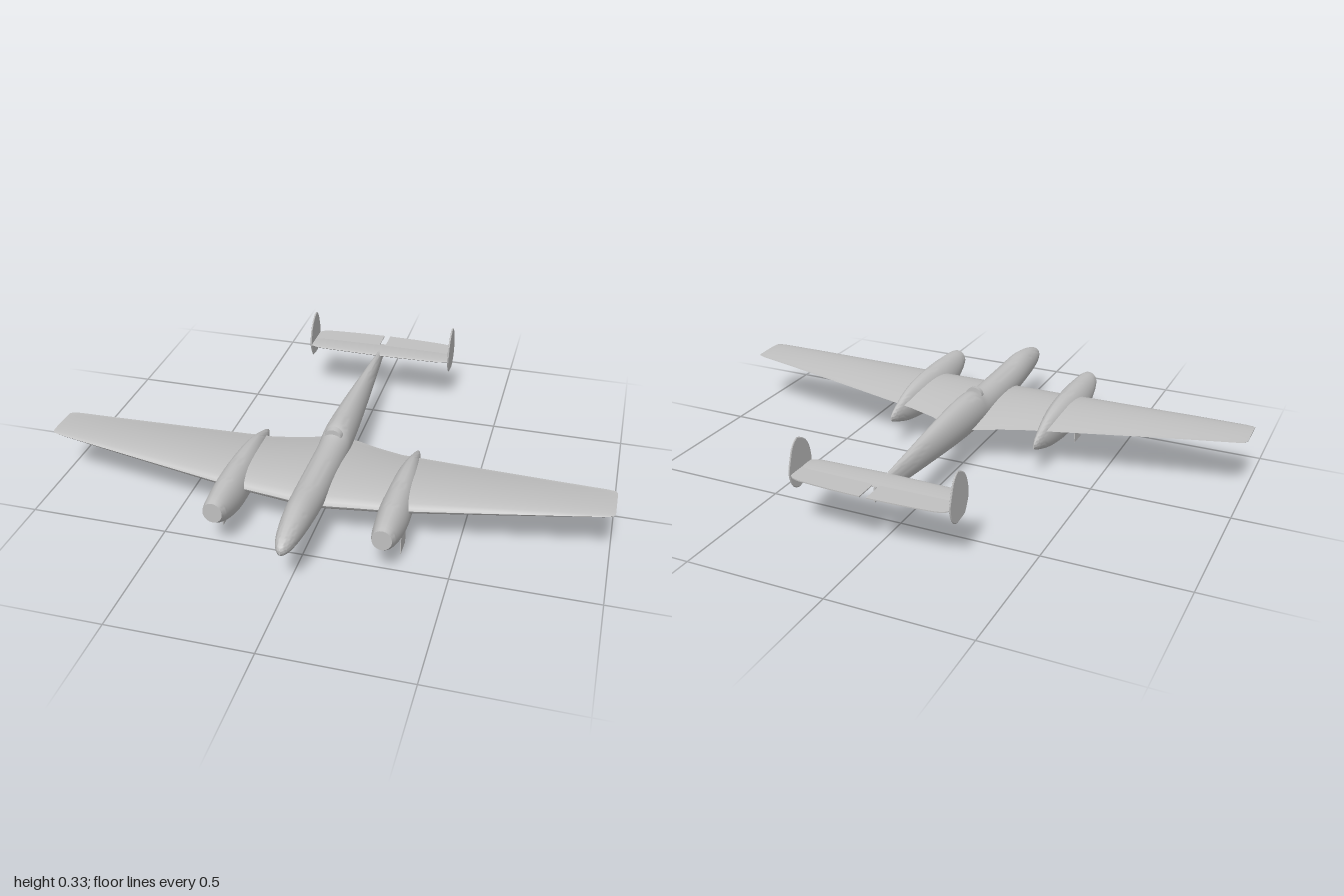
import * as THREE from 'three';
import { toCreasedNormals } from 'three/addons/utils/BufferGeometryUtils.js';

const grey = new THREE.MeshStandardMaterial({ color: 0xc0c0c0 });
grey.name = 'light grey';

function part(name, geometry, parent) {
  const mesh = new THREE.Mesh(geometry, grey);
  mesh.name = name;
  parent.add(mesh);
  return mesh;
}

// Skin a series of closed rings and cap both ends
function loft(rings, crease = 0.7) {
  const n = rings[0].length, pos = [], index = [];
  rings.forEach(r => r.forEach(p => pos.push(...p)));
  for (let i = 0; i < rings.length - 1; i++) {
    for (let j = 0; j < n; j++) {
      const a = i * n + j, b = i * n + (j + 1) % n;
      index.push(a, a + n, b, b, a + n, b + n);
    }
  }
  const last = (rings.length - 1) * n;
  for (let j = 1; j < n - 1; j++) {
    index.push(0, j, j + 1, last, last + j + 1, last + j);
  }
  const g = new THREE.BufferGeometry();
  g.setAttribute('position', new THREE.Float32BufferAttribute(pos, 3));
  g.setIndex(index);
  return toCreasedNormals(g, crease);
}

// Oval body from stations [z, half width, bottom, top], front to back
function body(stations, samples, sides = 32) {
  const smooth = pts => new THREE.CatmullRomCurve3(pts, false, 'catmullrom', 0.5);
  const zs = smooth(stations.map(s => new THREE.Vector3(s[0], 0, 0)));
  const shape = smooth(stations.map(s => new THREE.Vector3(s[1], s[2], s[3])));
  const rings = [];
  for (let i = 0; i <= samples; i++) {
    const z = zs.getPoint(i / samples).x, s = shape.getPoint(i / samples);
    const ring = [];
    for (let j = 0; j < sides; j++) {
      const a = j / sides * Math.PI * 2;
      ring.push([s.x * Math.cos(a), (s.y + s.z) / 2 + (s.z - s.y) / 2 * Math.sin(a), z]);
    }
    rings.push(ring);
  }
  return loft(rings);
}

// Airfoil ring: trailing edge, over the top, leading edge, underneath
function foil([x, lead, trail, y, thick], steps = 12) {
  const height = c => 2.6 * thick * (Math.sqrt(c) * 0.57 - 0.27 * c - 0.30 * c * c);
  const ring = [];
  for (let j = 0; j < steps * 2; j++) {
    const c = (1 + Math.cos(j / steps * Math.PI)) / 2;
    const side = j <= steps ? 1 : -1;
    ring.push([x, y + side * Math.max(height(c), 0.0006), lead + (trail - lead) * c]);
  }
  return ring;
}

// Full span surface mirrored from stations listed tip to root
function span(stations) {
  const other = stations.filter(s => s[0] > 0).map(s => [-s[0], ...s.slice(1)]).reverse();
  return loft([...stations, ...other].map(s => foil(s)), 0.9);
}

export function createModel() {
  const plane = new THREE.Group();
  plane.name = 'twinEngineAircraft';

  part('fuselage', body([
    [0.74, 0.003, 0.178, 0.194], [0.725, 0.017, 0.164, 0.208],
    [0.69, 0.030, 0.151, 0.224], [0.63, 0.040, 0.138, 0.239],
    [0.54, 0.048, 0.126, 0.249], [0.42, 0.053, 0.116, 0.245],
    [0.27, 0.054, 0.111, 0.243], [0.13, 0.054, 0.111, 0.245],
    [0.06, 0.054, 0.112, 0.263], [-0.05, 0.050, 0.115, 0.264],
    [-0.20, 0.041, 0.124, 0.256], [-0.38, 0.028, 0.139, 0.242],
    [-0.55, 0.015, 0.154, 0.228], [-0.67, 0.004, 0.163, 0.219]
  ], 72), plane);

  // Raised canopy frame ahead of the rear deck
  const screen = part('canopyFrame', new THREE.CylinderGeometry(0.030, 0.033, 0.022, 24, 1, false, -Math.PI / 2, Math.PI), plane);
  screen.rotation.x = Math.PI / 2;
  screen.rotation.z = 0;
  screen.geometry.rotateY(Math.PI);
  screen.position.set(0, 0.235, 0.105);

  // Main wing with a filleted root
  part('wing', span([
    [1.0, 0.298, 0.172, 0.212, 0.005], [0.992, 0.309, 0.160, 0.211, 0.008],
    [0.965, 0.316, 0.153, 0.209, 0.012], [0.8, 0.337, 0.131, 0.198, 0.025],
    [0.6, 0.361, 0.102, 0.184, 0.039], [0.36, 0.389, 0.066, 0.167, 0.055],
    [0.24, 0.400, 0.048, 0.159, 0.062], [0.14, 0.408, 0.018, 0.155, 0.068],
    [0.06, 0.414, -0.015, 0.151, 0.074], [0, 0.416, -0.025, 0.150, 0.076]
  ]), plane);

  // Tailplane, and split elevators with a central gap
  part('tailplane', span([
    [0.287, -0.585, -0.665, 0.218, 0.006], [0.25, -0.572, -0.668, 0.218, 0.009],
    [0, -0.566, -0.670, 0.218, 0.011]
  ]), plane);

  const elevatorShape = new THREE.Shape();
  elevatorShape.moveTo(0.012, 0.64);
  elevatorShape.lineTo(0.286, 0.64);
  elevatorShape.lineTo(0.284, 0.705);
  elevatorShape.quadraticCurveTo(0.28, 0.727, 0.24, 0.733);
  elevatorShape.quadraticCurveTo(0.13, 0.743, 0.012, 0.744);

  // Fin outline, with shape x running towards the tail
  const finShape = new THREE.Shape();
  finShape.moveTo(0.582, 0.215);
  finShape.quadraticCurveTo(0.582, 0.275, 0.612, 0.306);
  finShape.quadraticCurveTo(0.635, 0.326, 0.662, 0.333);
  finShape.quadraticCurveTo(0.690, 0.323, 0.700, 0.293);
  finShape.lineTo(0.718, 0.240);
  finShape.quadraticCurveTo(0.722, 0.205, 0.700, 0.175);
  finShape.quadraticCurveTo(0.688, 0.158, 0.662, 0.155);
  finShape.lineTo(0.612, 0.162);
  finShape.quadraticCurveTo(0.596, 0.180, 0.582, 0.215);

  const nacelleStations = [
    [0.572, 0.034, 0.130, 0.205], [0.54, 0.041, 0.108, 0.211],
    [0.48, 0.048, 0.080, 0.215], [0.40, 0.053, 0.061, 0.218],
    [0.30, 0.051, 0.056, 0.217], [0.20, 0.044, 0.061, 0.211],
    [0.11, 0.031, 0.076, 0.196], [0.04, 0.018, 0.098, 0.173],
    [0, 0.010, 0.113, 0.157], [-0.024, 0.002, 0.126, 0.141]
  ];

  for (const side of [1, -1]) {
    const label = side > 0 ? 'left' : 'right';

    // Engine nacelle with its blunt front, and the door below it
    part(label + 'Nacelle', body(nacelleStations, 48), plane).position.x = side * 0.288;
    part(label + 'GearDoor', new THREE.BoxGeometry(0.003, 0.085, 0.07), plane)
      .position.set(side * 0.318, 0.0425, 0.375);

    // Tail fin
    const fin = new THREE.ExtrudeGeometry(finShape, {
      depth: 0.002, curveSegments: 8, bevelEnabled: true,
      bevelThickness: 0.002, bevelSize: 0.003, bevelOffset: -0.003, bevelSegments: 1
    });
    fin.rotateY(Math.PI / 2);
    part(label + 'Fin', fin, plane).position.x = side * 0.286 - 0.001;

    // Elevator
    const elevator = new THREE.ExtrudeGeometry(elevatorShape, { depth: 0.004, bevelEnabled: false });
    elevator.rotateX(-Math.PI / 2);
    const mesh = part(label + 'Elevator', elevator, plane);
    mesh.position.y = 0.216;
    if (side < 0) {
      // Turn about z to mirror the flat plate
      mesh.rotation.z = Math.PI;
      mesh.position.y = 0.220;
    }
  }
  return plane;
}
